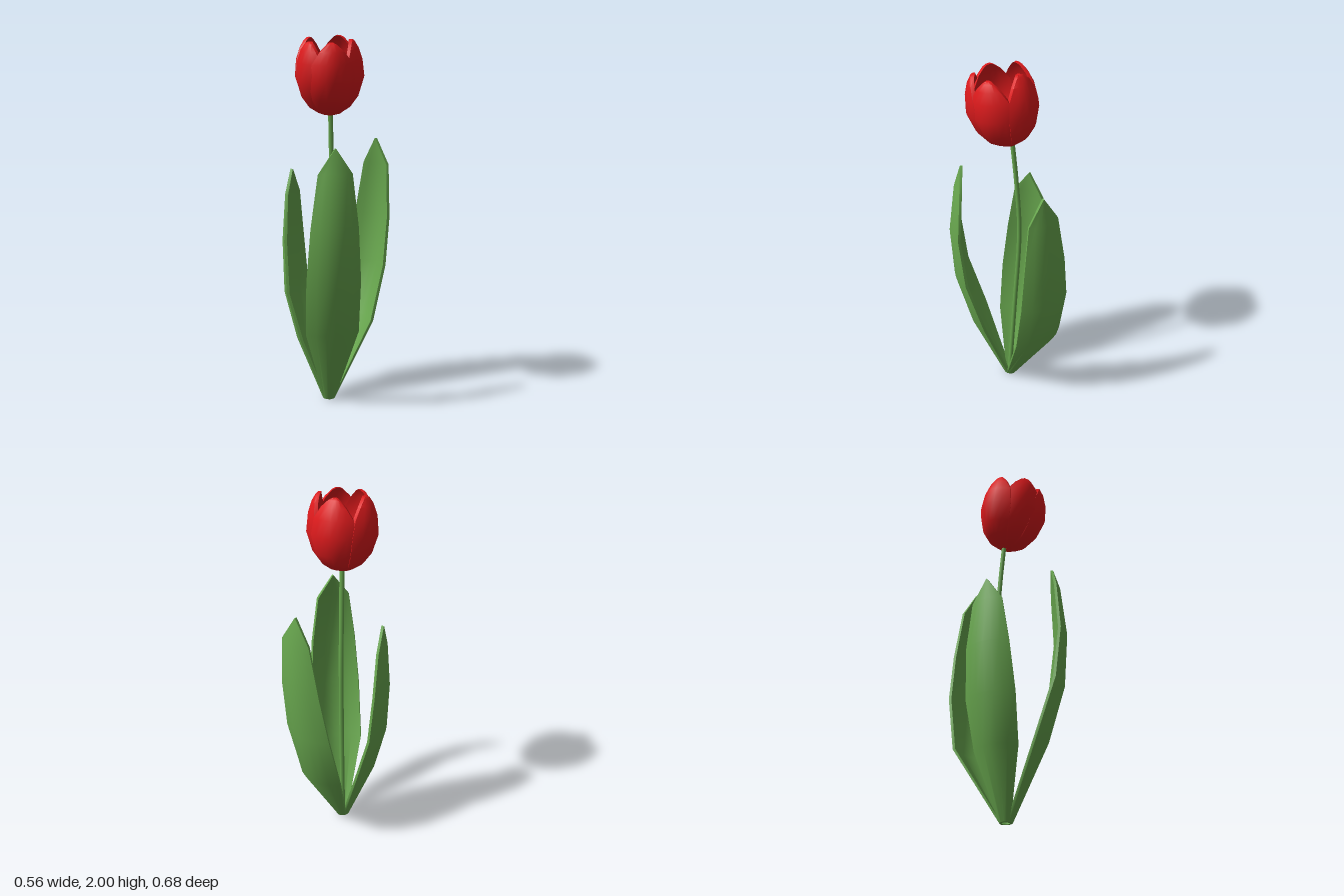
import * as THREE from 'three';
import { toCreasedNormals } from 'three/addons/utils/BufferGeometryUtils.js';

const green = new THREE.MeshStandardMaterial({ color: 0x69a84f });
const red = new THREE.MeshStandardMaterial({ color: 0xdd1a1c });
const black = new THREE.MeshStandardMaterial({ color: 0x0b0b0b });

// Closed cupped blade facing +z.
// Each row: [height, outward reach of the edges, sideways shift, half width, cup depth].
function blade(rows, thickness, n = 7) {
  const pos = [], idx = [], m = 2 * n;
  for (const [y, reach, shift, hw, cup] of rows) {
    for (let j = 0; j < m; j++) {
      const outer = j < n;
      const s = ((outer ? j : m - 1 - j) / (n - 1)) * 2 - 1;
      const t = outer ? 0 : thickness;
      pos.push(hw * s * (outer ? 1 : 0.95) + shift, y, reach + cup * (1 - s * s) - t);
    }
  }
  for (let i = 0; i < rows.length - 1; i++) {
    for (let j = 0; j < m; j++) {
      const a = i * m + j, b = i * m + (j + 1) % m;
      idx.push(a, b, b + m, a, b + m, a + m);
    }
  }
  // end caps
  const e = (rows.length - 1) * m;
  for (let j = 0; j < n - 1; j++) {
    const p = j, q = j + 1, u = m - 2 - j, v = m - 1 - j;
    idx.push(p, u, q, p, v, u);
    idx.push(e + p, e + q, e + u, e + p, e + u, e + v);
  }
  const g = new THREE.BufferGeometry();
  g.setAttribute('position', new THREE.Float32BufferAttribute(pos, 3));
  g.setIndex(idx);
  return toCreasedNormals(g, 0.9);
}

function add(parent, name, geometry, material) {
  const mesh = new THREE.Mesh(geometry, material);
  mesh.name = name;
  parent.add(mesh);
  return mesh;
}

export function createModel() {
  const model = new THREE.Group();
  model.name = 'flower';

  // three tall leaves rising from one base
  const leaves = [
    { name: 'frontLeaf', turn: 0.4, rows: [
      [0, 0.015, 0, 0.03, 0.02], [0.42, 0.151, -0.015, 0.146, 0.07], [0.73, 0.248, -0.03, 0.147, 0.062],
      [1.02, 0.282, -0.033, 0.128, 0.047], [1.3, 0.268, -0.027, 0.092, 0.03], [1.43, 0.262, -0.023, 0.002, 0]] },
    { name: 'backLeaf', turn: 2.53, rows: [
      [0, 0.015, 0, 0.03, 0.02], [0.42, 0.234, 0.03, 0.146, 0.07], [0.73, 0.309, 0.012, 0.149, 0.062],
      [1.0, 0.337, -0.01, 0.128, 0.047], [1.29, 0.345, -0.03, 0.09, 0.03], [1.43, 0.345, -0.03, 0.002, 0]] },
    { name: 'rightLeaf', turn: -1.745, rows: [
      [0, 0.015, 0, 0.03, 0.02], [0.36, 0.115, 0.008, 0.13, 0.065], [0.62, 0.183, 0.014, 0.148, 0.06],
      [0.9, 0.205, 0.008, 0.13, 0.05], [1.15, 0.212, 0.008, 0.09, 0.025], [1.28, 0.218, 0.007, 0.002, 0]] },
  ];
  for (const { name, turn, rows } of leaves) {
    const leaf = add(model, name, blade(rows, 0.014), green);
    leaf.position.set(-0.025, 0, 0.015);
    leaf.rotation.y = turn;
  }

  // slender stem, bowed slightly backwards
  const path = new THREE.CatmullRomCurve3([
    [-0.025, 0, 0.018], [-0.02, 0.55, -0.015], [-0.018, 1.05, -0.04],
    [-0.018, 1.35, -0.022], [-0.018, 1.62, 0.005],
  ].map((p) => new THREE.Vector3(...p)));
  add(model, 'stem', new THREE.TubeGeometry(path, 16, 0.013, 8), green);

  // cup-shaped head, tipped forwards
  const head = new THREE.Group();
  head.name = 'flowerHead';
  head.position.set(-0.016, 1.575, 0.015);
  head.rotation.x = 0.15;
  model.add(head);

  // five overlapping petals: [turn in degrees, size of the cup radius]
  const petalRows = [
    [0.006, 0.015, 0, 0.02, 0.005], [0.018, 0.045, 0, 0.045, 0.015], [0.05, 0.08, 0, 0.075, 0.03],
    [0.11, 0.106, 0, 0.105, 0.05], [0.21, 0.125, 0, 0.122, 0.064], [0.3, 0.13, 0, 0.105, 0.05],
    [0.36, 0.135, 0, 0.065, 0.026], [0.395, 0.134, 0, 0.028, 0.006], [0.405, 0.13, 0, 0.01, 0]];
  for (const [turn, size] of [[17, 1.02], [86, 0.98], [165, 1], [-115, 1.02], [-43, 0.97]]) {
    const rows = petalRows.map(([y, r, shift, w, c]) => [y, r * size, shift, w, c * size]);
    const petal = add(head, 'petal', blade(rows, 0.018), red);
    petal.rotation.y = THREE.MathUtils.degToRad(turn);
  }

  // dark heart inside the cup
  const heart = add(head, 'heart', new THREE.SphereGeometry(0.06, 9, 8), black);
  heart.scale.y = 0.6;
  heart.position.set(-0.01, 0.055, -0.02);

  return model;
}
